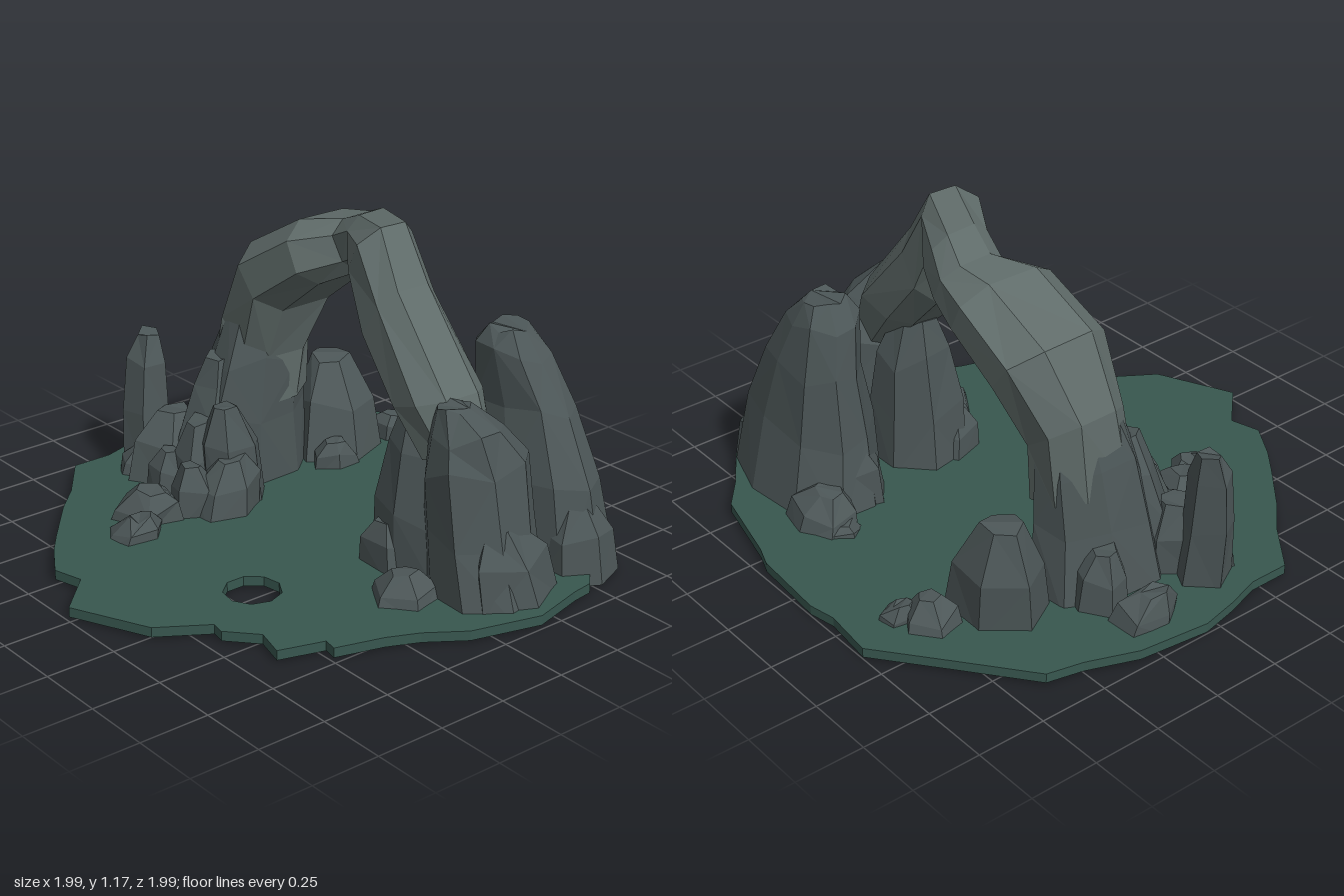
import * as THREE from 'three';

const stone = new THREE.MeshStandardMaterial({ color: 0x4c5657, flatShading: true });
const archStone = new THREE.MeshStandardMaterial({ color: 0x5f6b69, flatShading: true });
const moss = new THREE.MeshStandardMaterial({ color: 0x38574f, flatShading: true });

// Small seeded random source, -1 to 1
function seeded(seed) {
  let s = seed * 7919 + 17;
  return () => {
    s = (s * 16807) % 2147483647;
    return (s / 2147483647) * 2 - 1;
  };
}

// Skin a list of equal-sized point rings and close both ends
function loft(rings) {
  const n = rings[0].length, pos = [], index = [];
  rings.forEach(r => r.forEach(p => pos.push(p.x, p.y, p.z)));
  for (let i = 0; i < rings.length - 1; i++) {
    for (let j = 0; j < n; j++) {
      const a = i * n + j, b = i * n + (j + 1) % n, c = b + n, d = a + n;
      if ((i + j) % 2) index.push(a, d, c, a, c, b);
      else index.push(a, d, b, d, c, b);
    }
  }
  const last = (rings.length - 1) * n;
  for (let j = 1; j < n - 1; j++) {
    index.push(0, j, j + 1);
    index.push(last, last + j + 1, last + j);
  }
  const g = new THREE.BufferGeometry();
  g.setAttribute('position', new THREE.Float32BufferAttribute(pos, 3));
  g.setIndex(index);
  const flat = g.toNonIndexed();
  flat.computeVertexNormals();
  return flat;
}

function add(group, name, geometry, material) {
  const mesh = new THREE.Mesh(geometry, material);
  mesh.name = name;
  group.add(mesh);
}

// Upright rock from level rings: [y, centre x, centre z, radius x, radius z]
function pillar(levels, sides, seed, rough) {
  const rnd = seeded(seed), turn = rnd();
  const ribs = Array.from({ length: sides }, () => 1 + rnd() * rough);
  return loft(levels.map(([y, cx, cz, rx, rz], i) => ribs.map((rib, j) => {
    const a = ((j + turn) / sides) * Math.PI * 2;
    const k = rib * (1.04 + rnd() * rough * 0.6);
    const dy = i === 0 ? 0 : rnd() * Math.min(rx, rz) * 0.25;
    return new THREE.Vector3(cx + Math.cos(a) * rx * k, y + dy, cz + Math.sin(a) * rz * k);
  })));
}

// Chipped slab-like boulder with a leaning crown
function boulder(x, z, rx, rz, h, seed) {
  const rnd = seeded(seed + 50), lx = rnd() * rx * 0.35, lz = rnd() * rz * 0.35;
  return pillar([
    [0, x, z, rx, rz],
    [h * 0.6, x + lx * 0.5, z + lz * 0.5, rx * 0.85, rz * 0.85],
    [h * 0.96, x + lx, z + lz, rx * 0.38, rz * 0.38],
  ], 5 + (seed % 2), seed, 0.14);
}

export function createModel() {
  const model = new THREE.Group();
  model.name = 'rockArch';

  // Ragged ground slab with a round hole
  const outline = [
    [-0.40, -1.0], [-0.21, -0.98], [-0.11, -1.0], [0.18, -0.98], [0.26, -0.95], [0.55, -0.88],
    [0.66, -0.79], [0.81, -0.69], [0.88, -0.5], [0.93, -0.45], [0.94, -0.37], [0.99, -0.17],
    [0.92, 0.08], [0.83, 0.21], [0.78, 0.32], [0.73, 0.49], [0.68, 0.48], [0.63, 0.64],
    [0.52, 0.61], [0.42, 0.70], [0.37, 0.69], [0.26, 0.86], [-0.02, 0.99], [-0.16, 0.85],
    [-0.27, 0.88], [-0.40, 0.80], [-0.49, 0.73], [-0.66, 0.59], [-0.76, 0.49], [-0.93, 0.36],
    [-0.93, 0.21], [-0.97, 0.08], [-1.0, -0.06], [-0.97, -0.32], [-0.9, -0.5], [-0.87, -0.63],
    [-0.64, -0.81],
  ].map(([x, z]) => new THREE.Vector2(x, z));
  const slab = new THREE.Shape(outline);
  slab.holes.push(new THREE.Path(Array.from({ length: 9 }, (_, i) => {
    const a = (i / 9) * Math.PI * 2;
    return new THREE.Vector2(0.26 + Math.cos(a) * 0.1, 0.45 + Math.sin(a) * 0.1);
  })));
  const ground = new THREE.ExtrudeGeometry(slab, { depth: 0.035, bevelEnabled: false });
  ground.rotateX(Math.PI / 2).translate(0, 0.042, 0);
  add(model, 'ground', ground, moss);

  // Arch sections: outer x, y, inner x, y, back z, front z
  const rnd = seeded(4);
  const soften = v => Math.sign(v) * Math.abs(v) ** 0.8 * 1.065;
  const sections = [
    [-0.64, 0.40, -0.38, 0.34, -0.34, -0.02],
    [-0.61, 0.69, -0.38, 0.52, -0.36, -0.05],
    [-0.49, 0.93, -0.31, 0.72, -0.44, -0.03],
    [-0.25, 1.07, -0.14, 0.86, -0.45, -0.07],
    [-0.12, 1.09, -0.03, 0.92, -0.43, -0.18],
    [0.0, 1.14, 0.08, 0.97, -0.38, -0.15],
    [0.22, 1.17, 0.11, 0.96, -0.29, -0.06],
    [0.35, 0.99, 0.20, 0.77, -0.29, -0.03],
    [0.61, 0.69, 0.35, 0.61, -0.29, -0.01],
    [0.68, 0.52, 0.50, 0.46, -0.27, -0.04],
  ];
  const archRings = sections.map(([ox, oy, ix, iy, zb, zf]) =>
    Array.from({ length: 8 }, (_, j) => {
      const a = ((j + 0.5) / 8) * Math.PI * 2;
      const c = soften(Math.cos(a)), s = soften(Math.sin(a));
      return new THREE.Vector3(
        (ox + ix) / 2 + s * (ox - ix) / 2 + rnd() * 0.008,
        (oy + iy) / 2 + s * (oy - iy) / 2,
        (zb + zf) / 2 + c * (zf - zb) / 2 + rnd() * 0.008);
    }));
  add(model, 'arch', loft(archRings), archStone);

  // Tall rocks: name, sides, seed, levels
  const tall = [
    // broad mass under the right foot, with a buttress in front of it
    ['rightFoot', 8, 11, [
      [0, -0.55, -0.14, 0.19, 0.24], [0.28, -0.53, -0.14, 0.16, 0.21],
      [0.50, -0.51, -0.16, 0.135, 0.18], [0.70, -0.50, -0.19, 0.09, 0.13]]],
    ['rightButtress', 6, 14, [
      [0, -0.53, 0.01, 0.18, 0.17], [0.25, -0.54, 0.0, 0.14, 0.13],
      [0.42, -0.54, -0.02, 0.10, 0.09], [0.52, -0.52, -0.02, 0.05, 0.06]]],
    // rocks carrying the left foot
    ['frontPillar', 8, 3, [
      [0, 0.72, -0.17, 0.21, 0.20], [0.25, 0.68, -0.17, 0.18, 0.20],
      [0.48, 0.66, -0.17, 0.15, 0.20], [0.60, 0.66, -0.12, 0.11, 0.13],
      [0.69, 0.64, -0.08, 0.05, 0.06]]],
    ['frontShoulder', 7, 6, [
      [0, 0.46, -0.16, 0.20, 0.17], [0.25, 0.45, -0.15, 0.16, 0.16],
      [0.45, 0.44, -0.16, 0.12, 0.13], [0.60, 0.42, -0.16, 0.07, 0.08]]],
    ['backPillar', 9, 8, [
      [0, 0.53, -0.57, 0.33, 0.20], [0.30, 0.53, -0.54, 0.28, 0.16],
      [0.56, 0.48, -0.55, 0.21, 0.125], [0.72, 0.44, -0.53, 0.14, 0.11],
      [0.79, 0.43, -0.53, 0.07, 0.07]]],
    // free spike at the outer right
    ['spike', 5, 5, [
      [0, -0.78, 0.12, 0.10, 0.11], [0.25, -0.80, 0.12, 0.09, 0.09],
      [0.44, -0.81, 0.11, 0.08, 0.07], [0.54, -0.82, 0.09, 0.045, 0.04]]],
  ];
  for (const [name, sides, seed, levels] of tall) {
    add(model, name, pillar(levels, sides, seed, 0.06), stone);
  }

  // Boulders: x, z, radius x, radius z, height
  const boulders = [
    // around the right foot
    [-0.49, -0.50, 0.18, 0.17, 0.40], [-0.84, -0.20, 0.10, 0.13, 0.15],
    [-0.67, -0.24, 0.12, 0.11, 0.25], [-0.65, 0.12, 0.13, 0.14, 0.30],
    [-0.36, 0.05, 0.11, 0.13, 0.41], [-0.47, 0.12, 0.12, 0.13, 0.33],
    [-0.30, 0.15, 0.11, 0.14, 0.24], [-0.37, 0.22, 0.11, 0.09, 0.22],
    [-0.56, 0.20, 0.10, 0.08, 0.20], [-0.76, 0.21, 0.08, 0.07, 0.14],
    [-0.36, -0.42, 0.08, 0.10, 0.14],
    // low stones in front and behind
    [-0.44, 0.40, 0.14, 0.12, 0.15], [-0.35, 0.53, 0.10, 0.11, 0.11],
    [-0.44, -0.75, 0.10, 0.09, 0.14], [-0.33, -0.79, 0.06, 0.08, 0.10],
    // around the left foot
    [0.83, -0.20, 0.11, 0.17, 0.30], [0.80, -0.55, 0.10, 0.15, 0.28],
    [0.62, 0.10, 0.12, 0.11, 0.13], [0.28, -0.70, 0.14, 0.12, 0.17],
    [0.18, -0.67, 0.07, 0.07, 0.08], [0.34, -0.51, 0.12, 0.12, 0.30],
    [0.38, -0.07, 0.12, 0.11, 0.20],
  ];
  const pile = new THREE.Group();
  pile.name = 'boulders';
  boulders.forEach((b, i) => add(pile, 'boulder' + (i + 1), boulder(...b, i + 1), stone));
  model.add(pile);

  return model;
}
